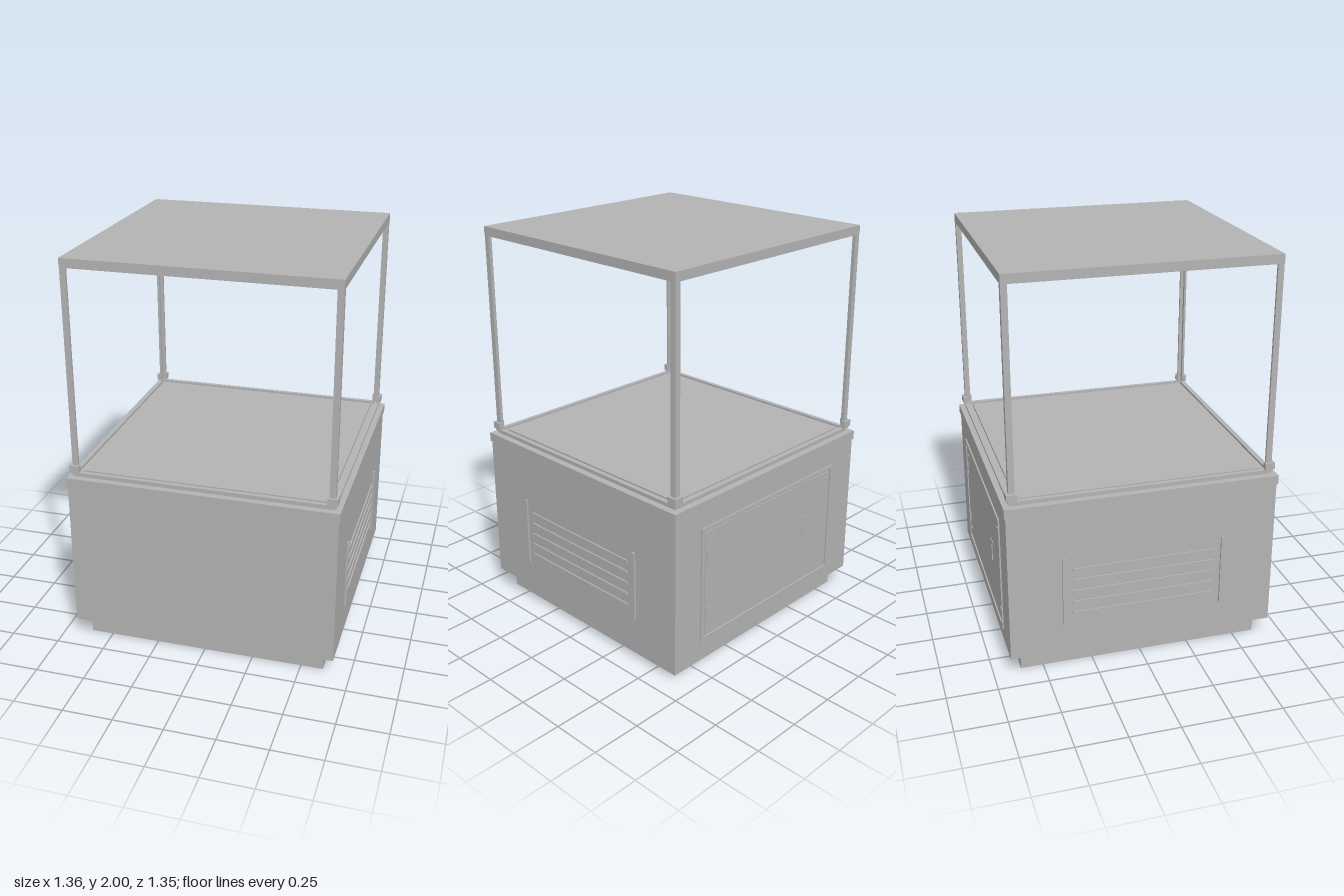
import * as THREE from 'three';

export function createModel() {
  const root = new THREE.Group();
  root.name = 'displayKiosk';
  const grey = new THREE.MeshStandardMaterial({ color: 0xb3b3b3 });
  grey.name = 'paintedGrey';

  const add = (parent, name, geometry) => {
    const mesh = new THREE.Mesh(geometry, grey);
    mesh.name = name;
    parent.add(mesh);
    return mesh;
  };

  // Box given by its lower and upper bounds
  const box = (parent, name, x0, x1, y0, y1, z0, z1) => {
    const mesh = add(parent, name, new THREE.BoxGeometry(x1 - x0, y1 - y0, z1 - z0));
    mesh.position.set((x0 + x1) / 2, (y0 + y1) / 2, (z0 + z1) / 2);
    return mesh;
  };
  const slab = (name, half, y0, y1) => box(root, name, -half, half, y0, y1, -half, half);

  const polygon = (points) => new THREE.Shape(points.map(([x, y]) => new THREE.Vector2(x, y)));
  const rectangle = (w, h) => polygon([[-w, -h], [w, -h], [w, h], [-w, h]]);
  const extrude = (shape, depth) => new THREE.ExtrudeGeometry(shape, { depth, bevelEnabled: false });

  // Horizontal square frame
  const frame = (name, outer, inner, y0, y1) => {
    const shape = rectangle(outer, outer);
    shape.holes.push(rectangle(inner, inner));
    const mesh = add(root, name, extrude(shape, y1 - y0).rotateX(-Math.PI / 2));
    mesh.position.y = y0;
  };

  // Upright angle section with its corner at (outer, outer)
  const angle = (parent, name, outer, arm, thick, y0, y1) => {
    const a = outer - arm, t = outer - thick;
    const shape = polygon([[outer, outer], [a, outer], [a, t], [t, t], [t, a], [outer, a]]);
    const mesh = add(parent, name, extrude(shape, y1 - y0).rotateX(-Math.PI / 2));
    mesh.position.y = y0;
  };

  // Base cabinet
  slab('plinth', 0.612, 0, 0.1);
  slab('cabinetBody', 0.67, 0.1, 0.9);
  slab('cabinetTop', 0.676, 0.865, 0.912);

  // Display deck surrounded by a grooved edge
  frame('deckLedge', 0.642, 0.61, 0.912, 0.925);
  frame('deckEdge', 0.65, 0.628, 0.922, 0.936);
  slab('deck', 0.608, 0.912, 0.932);

  // Four corner posts standing in sockets
  for (let i = 0; i < 4; i++) {
    const corner = new THREE.Group();
    corner.name = 'cornerPost';
    corner.rotation.y = i * Math.PI / 2;
    angle(corner, 'post', 0.647, 0.03, 0.012, 0.935, 1.96);
    angle(corner, 'postSocketFoot', 0.654, 0.04, 0.02, 0.93, 0.945);
    angle(corner, 'postSocket', 0.66, 0.05, 0.022, 0.942, 0.975);
    root.add(corner);
  }

  // Canopy, open underneath
  slab('canopyPanel', 0.648, 1.985, 2);
  frame('canopyRim', 0.648, 0.632, 1.955, 1.985);

  // Slatted vents on both sides
  for (const side of [0, 1]) {
    const vent = new THREE.Group();
    vent.name = side ? 'rightVent' : 'leftVent';
    vent.rotation.y = side * Math.PI;
    for (const z of [-0.4, 0.4]) {
      box(vent, 'ventRail', 0.665, 0.68, 0.25, 0.615, z - 0.008, z + 0.008);
    }
    for (let i = 0; i < 5; i++) {
      const y = 0.31 + i * 0.06;
      box(vent, 'ventSlat', 0.665, 0.677, y - 0.007, y + 0.007, -0.355, 0.355);
    }
    root.add(vent);
  }

  // Service door on the back, built facing +z and turned round
  const door = new THREE.Group();
  door.name = 'serviceDoor';
  door.rotation.y = Math.PI;
  const surround = rectangle(0.5, 0.303);
  surround.holes.push(rectangle(0.482, 0.285));
  add(door, 'doorFrame', extrude(surround, 0.012)).position.set(0, 0.47, 0.665);
  box(door, 'doorPanel', -0.472, 0.472, 0.195, 0.745, 0.665, 0.673);
  for (const y of [0.31, 0.62]) {
    box(door, 'hingeLeaf', -0.462, -0.425, y + 0.02, y + 0.03, 0.67, 0.676);
    box(door, 'hingePin', -0.462, -0.454, y - 0.035, y + 0.03, 0.67, 0.677);
  }
  for (const x of [-0.41, 0.455]) {
    for (const y of [0.26, 0.71]) {
      const screw = add(door, 'screw', new THREE.CylinderGeometry(0.008, 0.008, 0.005, 12).rotateX(Math.PI / 2));
      screw.position.set(x, y, 0.674);
    }
  }
  box(door, 'latchPlate', 0.25, 0.315, 0.54, 0.548, 0.67, 0.676);
  box(door, 'latchHandle', 0.265, 0.275, 0.43, 0.515, 0.67, 0.677);
  root.add(door);

  return root;
}
